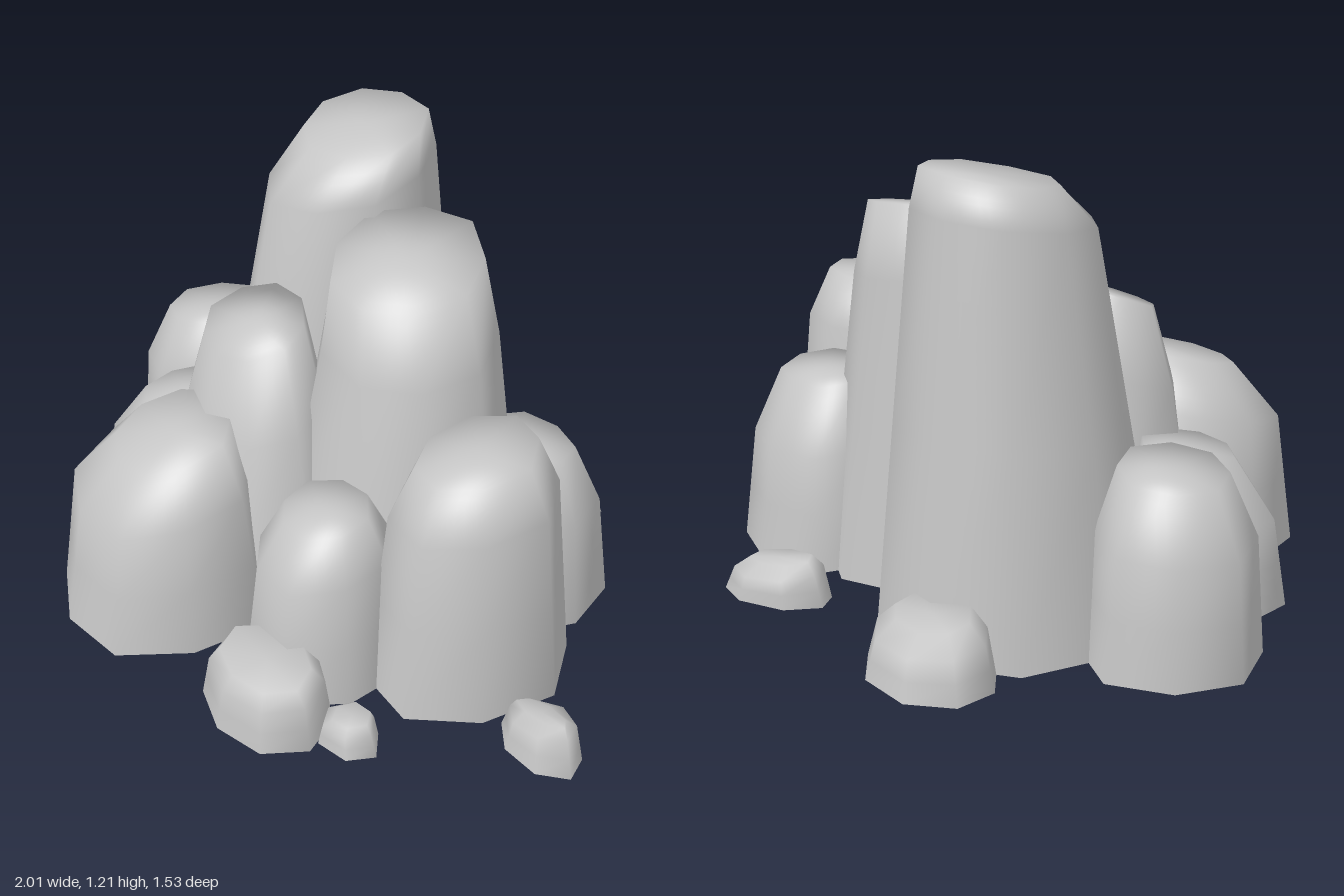
import * as THREE from 'three';

const rock = new THREE.MeshStandardMaterial({ name: 'grey rock', color: 0xc4c4c4, side: THREE.DoubleSide });

// Boxes are [x0, x1, z0, z1]; h is the height at the cap centre, sx and sz tilt the cap.
const columns = [
  { name: 'tallPeak', n: 9, base: [-0.71, -0.06, -0.59, 0.18], shoulder: [-0.55, -0.15, -0.48, 0.0], at: 0.91, cap: [-0.53, -0.18, -0.46, -0.13], h: 1.18, sz: -0.18 },
  { name: 'secondPeak', n: 9, base: [-0.28, 0.42, -0.46, 0.26], shoulder: [-0.18, 0.31, -0.37, 0.1], at: 0.8, cap: [-0.16, 0.24, -0.35, 0.06], h: 0.99, sx: -0.15, sz: -0.2 },
  { name: 'middleColumn', n: 9, base: [-0.5, 0.12, -0.1, 0.5], shoulder: [-0.44, 0.01, 0, 0.36], at: 0.72, cap: [-0.39, -0.08, 0.03, 0.29], h: 0.77, sz: -0.38 },
  { name: 'frontColumn', n: 9, base: [-0.53, 0.06, 0.15, 0.77], shoulder: [-0.49, 0.02, 0.22, 0.71], at: 0.75, cap: [-0.37, -0.06, 0.28, 0.6], h: 0.54, sz: -0.28 },
  { name: 'rightOuterColumn', n: 8, base: [-1, -0.55, -0.28, 0.18], shoulder: [-0.97, -0.58, -0.25, 0.16], at: 0.66, cap: [-0.9, -0.63, -0.19, 0.09], h: 0.49, sx: 0.12 },
  { name: 'rightFrontColumn', n: 8, base: [-0.79, -0.35, 0, 0.45], shoulder: [-0.75, -0.38, 0.03, 0.42], at: 0.62, cap: [-0.65, -0.42, 0.08, 0.33], h: 0.41, sx: 0.1, sz: -0.1 },
  { name: 'leftOuterColumn', n: 8, base: [0.26, 0.74, -0.31, 0.26], shoulder: [0.3, 0.69, -0.26, 0.2], at: 0.8, cap: [0.35, 0.63, -0.2, 0.13], h: 0.68, sz: -0.13 },
  { name: 'leftBackColumn', n: 8, base: [0.08, 0.55, -0.58, -0.12], shoulder: [0.12, 0.52, -0.54, -0.16], at: 0.65, cap: [0.18, 0.46, -0.46, -0.22], h: 0.5, sz: 0.1 },
  { name: 'leftFrontColumn', n: 8, base: [0.02, 0.46, 0.06, 0.5], shoulder: [0.06, 0.42, 0.09, 0.46], at: 0.74, cap: [0.12, 0.36, 0.15, 0.38], h: 0.48, sz: -0.15 },
];
const stones = [
  { name: 'frontBoulder', n: 8, base: [0.14, 0.53, 0.36, 0.67], shoulder: [0.16, 0.51, 0.38, 0.65], at: 0.75, cap: [0.19, 0.48, 0.42, 0.62], h: 0.17, sz: -0.12 },
  { name: 'backBoulder', n: 8, base: [-0.7, -0.31, -0.745, -0.44], shoulder: [-0.67, -0.34, -0.72, -0.46], at: 0.7, cap: [-0.62, -0.39, -0.67, -0.5], h: 0.16, sz: 0.1 },
  { name: 'frontPebble', n: 6, base: [0.46, 0.65, 0.34, 0.49], shoulder: [0.48, 0.63, 0.35, 0.48], at: 0.75, cap: [0.51, 0.61, 0.36, 0.46], h: 0.08 },
  { name: 'sidePebble', n: 7, base: [0.74, 1, -0.05, 0.12], shoulder: [0.76, 0.97, -0.04, 0.1], at: 0.8, cap: [0.77, 0.95, 0, 0.06], h: 0.11, sx: 0.2 },
  { name: 'backPebble', n: 7, base: [-0.05, 0.22, -0.75, -0.58], shoulder: [-0.03, 0.19, -0.74, -0.59], at: 0.75, cap: [0, 0.16, -0.7, -0.61], h: 0.11, sz: 0.2, shear: -0.42 },
];

// Irregular unit polygon that every ring of a rock follows
function outline(n, seed) {
  return Array.from({ length: n }, (_, i) => {
    const a = (i + seed * 0.37) / n * Math.PI * 2;
    const r = 1.02 + 0.035 * Math.sin(i * 2.7 + seed * 1.9);
    return [Math.cos(a) * r, Math.sin(a) * r];
  });
}
columns.forEach((c, i) => { c.ring = outline(c.n, i + 1); });
stones.forEach((c, i) => { c.ring = outline(c.n, i + 11); });

// Centre and radii of a rock at relative height t
function section(c, t) {
  const low = t < c.at;
  const k = low ? t / c.at : Math.min((t - c.at) / (1 - c.at), 1);
  const from = low ? c.base : c.shoulder, to = low ? c.shoulder : c.cap;
  const [x0, x1, z0, z1] = from.map((v, i) => THREE.MathUtils.lerp(v, to[i], k));
  return { cx: (x0 + x1) / 2, cz: (z0 + z1) / 2, rx: (x1 - x0) / 2, rz: (z1 - z0) / 2 };
}

// Height of the tilted cap plane above a point
function capHeight(c, x, z) {
  const s = section(c, 1);
  return c.h + (c.sx || 0) * (x - s.cx) + (c.sz || 0) * (z - s.cz);
}

function isInside(c, p) {
  const t = p.y / capHeight(c, p.x, p.z);
  if (t > 0.99) return false;
  const s = section(c, t);
  const u = (p.x - s.cx) / s.rx * 1.03, w = (p.z - s.cz) / s.rz * 1.03;
  return c.ring.every(([ax, az], i) => {
    const [bx, bz] = c.ring[(i + 1) % c.n];
    return (bx - ax) * (w - az) - (bz - az) * (u - ax) > 0;
  });
}

// Lofted rock with an open foot and smooth normals
function loft(c) {
  const levels = [0, c.at / 2, c.at, 1];
  const points = [], index = [], n = c.n;
  const add = (x, z, t) => points.push(x, t * capHeight(c, x, z), z);
  for (const t of levels) {
    const s = section(c, t);
    for (const [u, w] of c.ring) add(s.cx + u * s.rx, s.cz + w * s.rz + (c.shear || 0) * u * s.rx, t);
  }
  const top = section(c, 1), last = (levels.length - 1) * n;
  add(top.cx, top.cz, 1);
  for (let i = 0; i < n; i++) {
    const j = (i + 1) % n;
    for (let k = 0; k < last; k += n) {
      index.push(k + i, k + n + i, k + j, k + j, k + n + i, k + n + j);
    }
    index.push(last + n, last + j, last + i);
  }
  const geometry = new THREE.BufferGeometry();
  geometry.setAttribute('position', new THREE.Float32BufferAttribute(points, 3));
  geometry.setIndex(index);
  geometry.computeVertexNormals();
  return geometry;
}

// Splits each face finely and keeps only the pieces not buried in a neighbouring column
function trim(geometry, c, splits = 6) {
  const flat = geometry.toNonIndexed();
  const { position, normal } = flat.attributes;
  const positions = [], normals = [];
  const mix = (attribute, f, a, b) => {
    const [p, q, r] = [0, 1, 2].map(i => new THREE.Vector3().fromBufferAttribute(attribute, f + i));
    return p.multiplyScalar(1 - (a + b) / splits).addScaledVector(q, a / splits).addScaledVector(r, b / splits);
  };
  for (let f = 0; f < position.count; f += 3) {
    const keep = corners => {
      const pts = corners.map(([a, b]) => mix(position, f, a, b));
      if (columns.some(o => o !== c && pts.every(p => isInside(o, p)))) return;
      pts.forEach(p => positions.push(p.x, p.y, p.z));
      corners.forEach(([a, b]) => normals.push(...mix(normal, f, a, b).normalize().toArray()));
    };
    for (let a = 0; a < splits; a++) {
      for (let b = 0; a + b < splits; b++) {
        keep([[a, b], [a + 1, b], [a, b + 1]]);
        if (a + b < splits - 1) keep([[a + 1, b], [a + 1, b + 1], [a, b + 1]]);
      }
    }
  }
  const trimmed = new THREE.BufferGeometry();
  trimmed.setAttribute('position', new THREE.Float32BufferAttribute(positions, 3));
  trimmed.setAttribute('normal', new THREE.Float32BufferAttribute(normals, 3));
  return trimmed;
}

export function createModel() {
  const model = new THREE.Group();
  model.name = 'rockFormation';
  const place = (c, geometry) => {
    const mesh = new THREE.Mesh(geometry, rock);
    mesh.name = c.name;
    model.add(mesh);
  };
  columns.forEach(c => place(c, trim(loft(c), c)));
  stones.forEach(c => place(c, loft(c)));
  return model;
}
